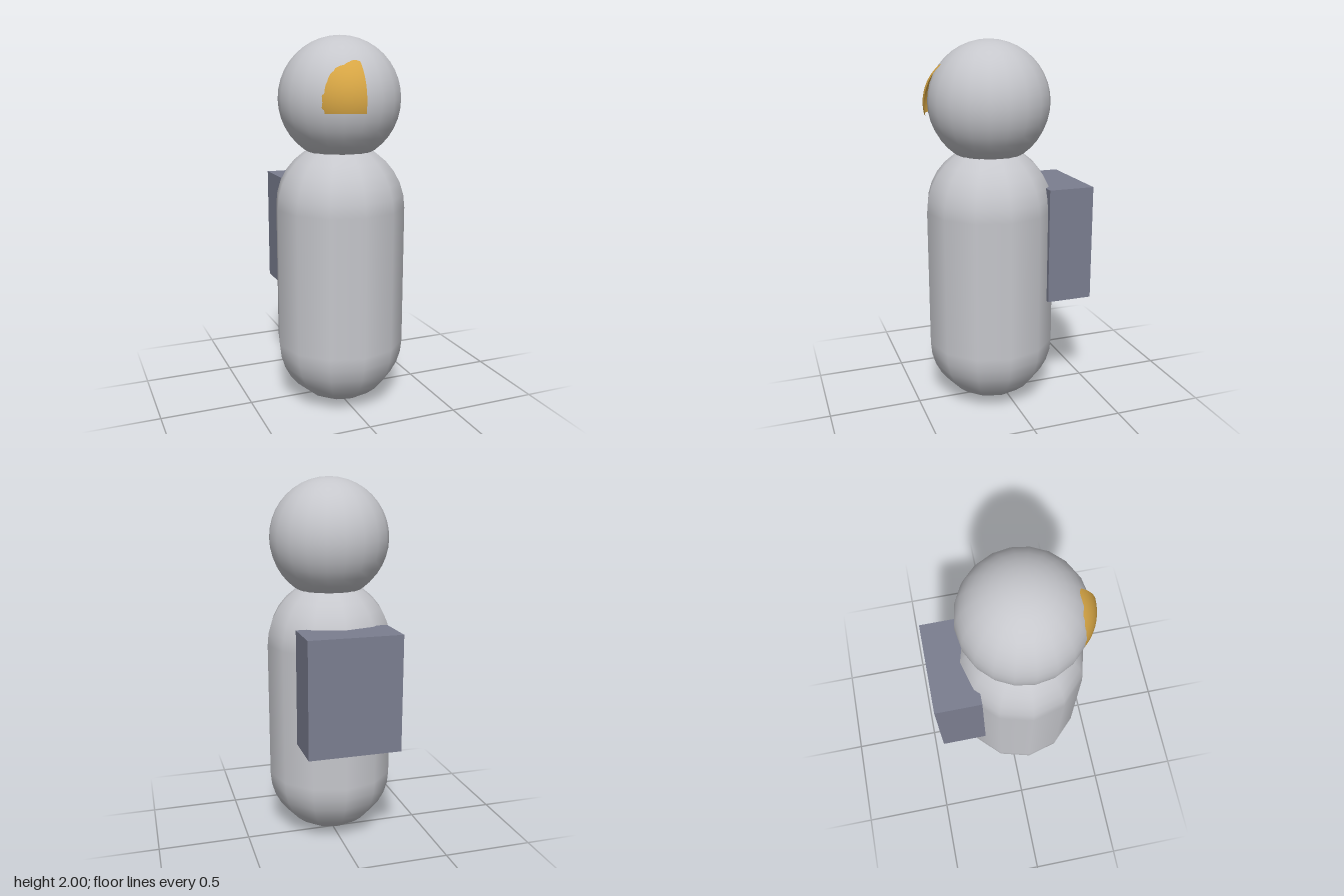
import * as THREE from 'three';

export function createModel() {
  const model = new THREE.Group();
  model.name = 'figure';

  const suit = new THREE.MeshStandardMaterial({ color: 0xc6c7cc });
  suit.name = 'light grey';
  const packGrey = new THREE.MeshStandardMaterial({ color: 0x7b7e90 });
  packGrey.name = 'slate grey';
  const amber = new THREE.MeshStandardMaterial({ color: 0xd6a544, side: THREE.DoubleSide });
  amber.name = 'amber';

  function add(name, geometry, material, x, y, z) {
    const mesh = new THREE.Mesh(geometry, material);
    mesh.name = name;
    mesh.position.set(x, y, z);
    model.add(mesh);
    return mesh;
  }

  // Twelve-sided capsule body with smooth normals
  add('body', new THREE.CapsuleGeometry(0.35, 0.75, 8, 12), suit, 0, 0.727, 0.075);

  // Round head sinking slightly into the body
  add('head', new THREE.SphereGeometry(0.325, 20, 20), suit, 0, 1.675, 0.075);

  // Visor: quarter-turn open shell poking out of the face, cut flat below
  add('visor', new THREE.SphereGeometry(0.255, 16, 16, 0, Math.PI / 2, 0, 1.79), amber, 0, 1.675, 0.17);

  // Box backpack overlapping the back of the body
  add('backpack', new THREE.BoxGeometry(0.5, 0.625, 0.25), packGrey, 0, 0.92, -0.302);

  return model;
}
